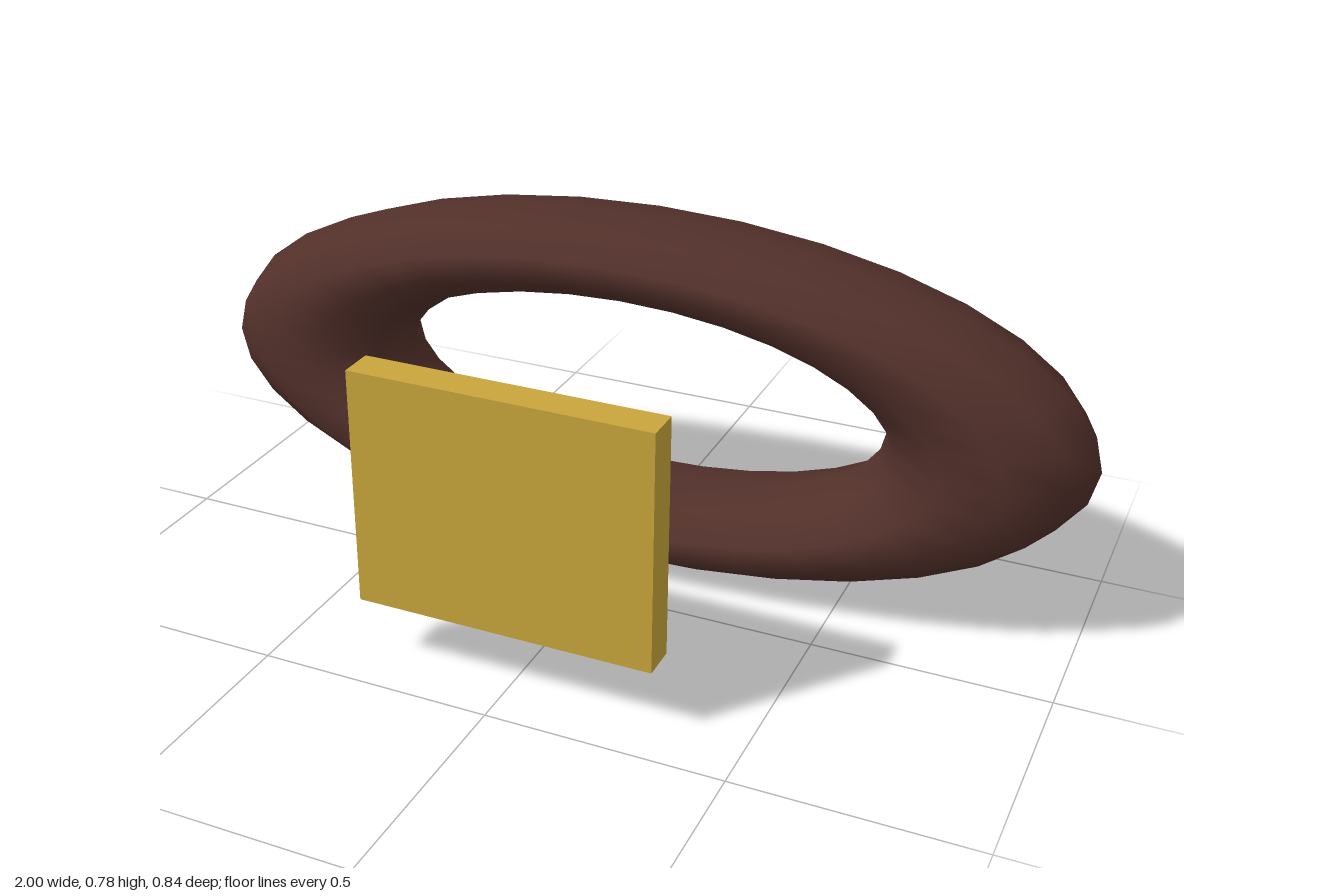
import * as THREE from 'three';

export function createModel() {
  const model = new THREE.Group();

  // Oval ring: a ten-sided torus flattened into an ellipse
  const ring = new THREE.Mesh(
    new THREE.TorusGeometry(0.78, 0.22, 10, 32).scale(1, 0.391, 0.823),
    new THREE.MeshStandardMaterial({ color: 0x52302a })
  );
  ring.name = 'ovalRing';
  ring.position.set(0, 0.392, -0.25);
  model.add(ring);

  // Flat plate floating in front of the ring
  const plate = new THREE.Mesh(
    new THREE.BoxGeometry(0.635, 0.508, 0.075),
    new THREE.MeshStandardMaterial({ color: 0xc9a53b })
  );
  plate.name = 'frontPlate';
  plate.position.set(0, 0.394, 0.385);
  model.add(plate);

  return model;
}
